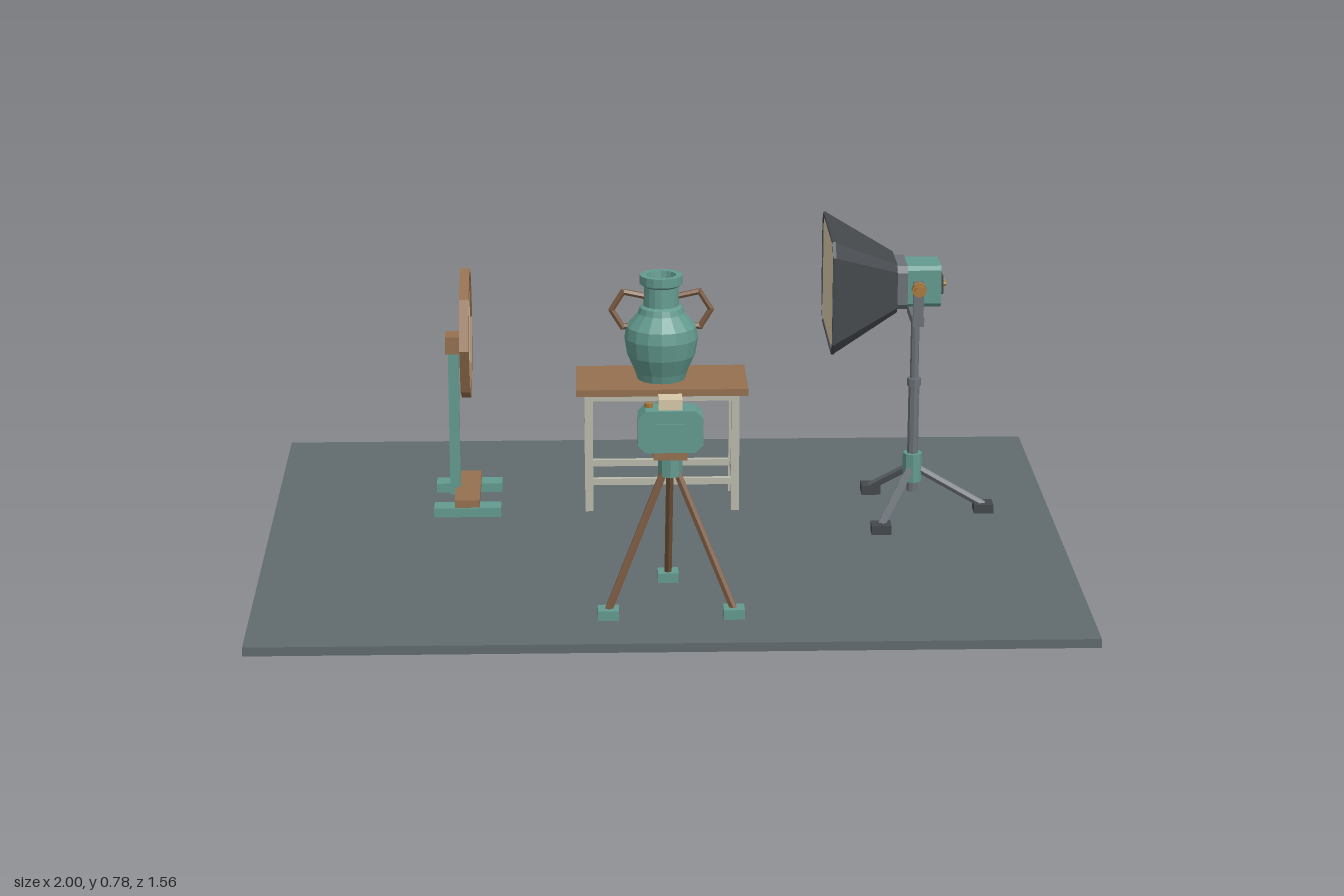
import * as THREE from 'three';

const mat = (color, side = THREE.FrontSide) => new THREE.MeshStandardMaterial({ color, side, flatShading: true });
const floorM = mat(0x616b6e), teal = mat(0x639a8f), tealOpen = mat(0x639a8f, THREE.DoubleSide);
const wood = mat(0x94704f), darkWood = mat(0x7a5940), cream = mat(0xd6c9a8), legM = mat(0xb9b9ab);
const dark = mat(0x44484c), darkOpen = mat(0x44484c, THREE.DoubleSide), grey = mat(0x6c7278), gold = mat(0xa87a3c);

function add(parent, name, geo, material, x = 0, y = 0, z = 0) {
  const m = new THREE.Mesh(geo, material);
  m.name = name;
  m.position.set(x, y, z);
  parent.add(m);
  return m;
}
const box = (p, name, m, w, h, d, x, y, z) => add(p, name, new THREE.BoxGeometry(w, h, d), m, x, y, z);
const cyl = (p, name, m, r, h, x, y, z, n = 10, r2 = r) => add(p, name, new THREE.CylinderGeometry(r2, r, h, n), m, x, y, z);

// Straight rod between two points
function rod(p, name, m, a, b, r, n = 6) {
  const A = new THREE.Vector3(...a), B = new THREE.Vector3(...b), d = B.clone().sub(A);
  const mesh = add(p, name, new THREE.CylinderGeometry(r, r, d.length(), n), m);
  mesh.position.copy(A).add(B).multiplyScalar(0.5);
  mesh.quaternion.setFromUnitVectors(new THREE.Vector3(0, 1, 0), d.normalize());
  return mesh;
}
// Rectangle with cut corners, half sizes w and h
const cutRect = (w, h, c) => [[w, c - h], [w, h - c], [w - c, h], [c - w, h], [-w, h - c], [-w, c - h], [c - w, -h], [w - c, -h]]
  .map(([x, y]) => new THREE.Vector2(x, y));
const polygon = (r, n) => Array.from({ length: n }, (_, i) =>
  new THREE.Vector2(r * Math.cos(i * 2 * Math.PI / n), r * Math.sin(i * 2 * Math.PI / n)));
// Centred extrusion of an outline, with an optional hole
function slab(points, depth, hole) {
  const s = new THREE.Shape(points);
  if (hole) s.holes.push(new THREE.Path(hole));
  return new THREE.ExtrudeGeometry(s, { depth, bevelEnabled: false }).translate(0, 0, -depth / 2);
}
// Skin joining two outlines lying at different z
function skin(a, za, b, zb) {
  const pos = [];
  a.forEach((p, i) => {
    const j = (i + 1) % a.length, q = a[j], s = b[i], t = b[j];
    pos.push(p.x, p.y, za, q.x, q.y, za, t.x, t.y, zb, p.x, p.y, za, t.x, t.y, zb, s.x, s.y, zb);
  });
  const g = new THREE.BufferGeometry();
  g.setAttribute('position', new THREE.Float32BufferAttribute(pos, 3));
  g.computeVertexNormals();
  return g;
}
// Three splayed legs with feet, starting at angle a0
function tripodLegs(p, m, footM, top, spread, r, a0) {
  for (let i = 0; i < 3; i++) {
    const a = a0 + i * 2 * Math.PI / 3, x = Math.cos(a), z = Math.sin(a);
    rod(p, 'tripodLeg', m, [x * 0.015, top, z * 0.015], [x * spread, 0.04, z * spread], r);
    box(p, 'tripodFoot', footM, 0.05, 0.024, 0.046, x * spread, 0.034, z * spread);
  }
}

function makeTable() {
  const g = new THREE.Group();
  g.name = 'table';
  box(g, 'tableTop', wood, 0.44, 0.018, 0.22, 0, 0.346, 0);
  for (const s of [-1, 1]) {
    for (const t of [-1, 1]) box(g, 'tableLeg', legM, 0.021, 0.315, 0.021, s * 0.188, 0.1795, t * 0.078);
    box(g, 'sideApron', legM, 0.014, 0.02, 0.14, s * 0.188, 0.327, 0);
    box(g, 'longApron', legM, 0.36, 0.02, 0.014, 0, 0.327, s * 0.078);
    box(g, 'sideStretcher', legM, 0.014, 0.017, 0.14, s * 0.188, 0.1, 0);
    box(g, 'longStretcher', legM, 0.36, 0.017, 0.014, 0, 0.1, s * 0.078);
  }
  return g;
}

function makeVase() {
  const g = new THREE.Group();
  g.name = 'vase';
  // Outer wall, lip, then hollow neck
  const profile = [[0, 0.355], [0.062, 0.355], [0.068, 0.375], [0.088, 0.42], [0.095, 0.465], [0.09, 0.495],
    [0.06, 0.53], [0.055, 0.545], [0.046, 0.55], [0.044, 0.6], [0.055, 0.607], [0.055, 0.63],
    [0.038, 0.63], [0.034, 0.6], [0.034, 0.54], [0, 0.53]];
  add(g, 'vaseBody', new THREE.LatheGeometry(profile.map(p => new THREE.Vector2(...p)), 16), tealOpen);
  for (const s of [-1, 1]) {
    const pts = [[0.042, 0.573], [0.098, 0.585], [0.128, 0.537], [0.1, 0.492], [0.075, 0.495]];
    pts.slice(1).forEach((p, i) => rod(g, 'vaseHandle', darkWood, [s * pts[i][0], pts[i][1], 0], [s * p[0], p[1], 0], 0.008));
    for (const p of pts.slice(1, 4)) add(g, 'handleJoint', new THREE.IcosahedronGeometry(0.009, 0), darkWood, s * p[0], p[1], 0);
  }
  return g;
}

function makeCamera() {
  const g = new THREE.Group();
  g.name = 'cameraOnTripod';
  tripodLegs(g, darkWood, teal, 0.365, 0.172, 0.01, -Math.PI / 2);
  cyl(g, 'tripodHead', teal, 0.029, 0.045, 0, 0.372, 0, 8);
  box(g, 'mountPlate', wood, 0.08, 0.022, 0.06, 0, 0.405, 0);
  add(g, 'cameraBody', slab(cutRect(0.077, 0.051, 0.018), 0.068), teal, 0, 0.466, 0.005);
  box(g, 'viewfinder', cream, 0.056, 0.026, 0.05, 0, 0.53, 0.005);
  cyl(g, 'shutterButton', gold, 0.01, 0.012, -0.05, 0.521, 0, 8);
  box(g, 'rearScreen', dark, 0.07, 0.045, 0.004, 0, 0.463, 0.04).material = teal;
  // Lens looks toward -z
  cyl(g, 'lensBarrel', wood, 0.043, 0.04, 0, 0.467, -0.047, 14).rotation.x = Math.PI / 2;
  const ring = add(g, 'lensRing', new THREE.LatheGeometry([[0.033, -0.013], [0.047, -0.013], [0.047, 0.013], [0.033, 0.013], [0.033, -0.013]]
    .map(p => new THREE.Vector2(...p)), 14), tealOpen, 0, 0.467, -0.079);
  ring.rotation.x = Math.PI / 2;
  cyl(g, 'lensGlass', dark, 0.034, 0.01, 0, 0.467, -0.08, 14).rotation.x = Math.PI / 2;
  return g;
}

function makeSoftbox() {
  const g = new THREE.Group();
  g.name = 'softboxLight';
  tripodLegs(g, grey, dark, 0.14, 0.185, 0.011, 0);
  cyl(g, 'standHub', teal, 0.025, 0.075, 0, 0.145, 0, 8);
  cyl(g, 'lowerPole', grey, 0.014, 0.29, 0, 0.225, 0, 8);
  cyl(g, 'poleCollar', grey, 0.018, 0.02, 0, 0.373, 0, 8);
  cyl(g, 'upperPole', grey, 0.011, 0.18, 0, 0.46, 0, 8);
  // Yoke with clamp knobs
  box(g, 'yokeBar', grey, 0.03, 0.022, 0.145, 0, 0.549, 0);
  for (const s of [-1, 1]) {
    box(g, 'yokeArm', grey, 0.026, 0.115, 0.014, 0, 0.597, s * 0.066);
    cyl(g, 'clampKnob', gold, 0.019, 0.016, 0, 0.637, s * 0.08, 8).rotation.x = Math.PI / 2;
    cyl(g, 'knobCap', gold, 0.013, 0.012, 0, 0.637, s * 0.093, 8).rotation.x = Math.PI / 2;
  }
  // Lamp head, with its local z pointing toward -x
  const head = new THREE.Group();
  head.name = 'lampHead';
  head.position.y = 0.637;
  head.rotation.y = -Math.PI / 2;
  g.add(head);
  add(head, 'lampHousing', slab(cutRect(0.056, 0.053, 0.01), 0.088), teal, 0, 0, -0.014);
  box(head, 'controlPanel', dark, 0.078, 0.045, 0.008, 0, 0, -0.061);
  for (const s of [-1, 1]) cyl(head, 'controlDial', gold, 0.008, 0.01, s * 0.018, 0, -0.068, 8).rotation.x = Math.PI / 2;
  add(head, 'mountCollar', slab(cutRect(0.074, 0.056, 0.015), 0.03), grey, 0, 0, 0.043);
  const back = cutRect(0.086, 0.062, 0.016), front = cutRect(0.19, 0.145, 0.033);
  add(head, 'softboxShell', skin(back, 0.056, front, 0.222), darkOpen);
  add(head, 'softboxBack', slab(back, 0.004), dark, 0, 0, 0.057);
  add(head, 'softboxRim', slab(front, 0.008, cutRect(0.183, 0.138, 0.031)), dark, 0, 0, 0.222);
  add(head, 'diffuser', slab(cutRect(0.184, 0.139, 0.031), 0.004), cream, 0, 0, 0.221);
  return g;
}

function makeReflector() {
  const g = new THREE.Group();
  g.name = 'reflector';
  for (const s of [-1, 1]) box(g, 'standFoot', teal, 0.172, 0.024, 0.052, -0.501, 0.034, s * 0.101);
  box(g, 'footBeam', wood, 0.064, 0.02, 0.245, -0.502, 0.056, 0);
  box(g, 'standPole', teal, 0.027, 0.4, 0.024, -0.535, 0.245, 0);
  box(g, 'panelClamp', wood, 0.044, 0.046, 0.058, -0.533, 0.452, 0);
  add(g, 'reflectorRim', slab(polygon(0.173, 8), 0.024, polygon(0.155, 8)), wood, -0.502, 0.478, 0).rotation.y = Math.PI / 2;
  add(g, 'reflectorPanel', slab(polygon(0.158, 8), 0.014), cream, -0.502, 0.478, 0).rotation.y = Math.PI / 2;
  return g;
}

export function createModel() {
  const model = new THREE.Group();
  model.name = 'photoStudio';
  box(model, 'floor', floorM, 2, 0.022, 1.56, 0, 0.011, 0);
  const place = (part, x, z) => { part.position.set(x, 0, z); model.add(part); };
  place(makeTable(), 0, -0.263);
  place(makeVase(), 0, -0.263);
  place(makeCamera(), 0, 0.52);
  place(makeSoftbox(), 0.643, -0.15);
  place(makeReflector(), 0, -0.263);
  return model;
}
